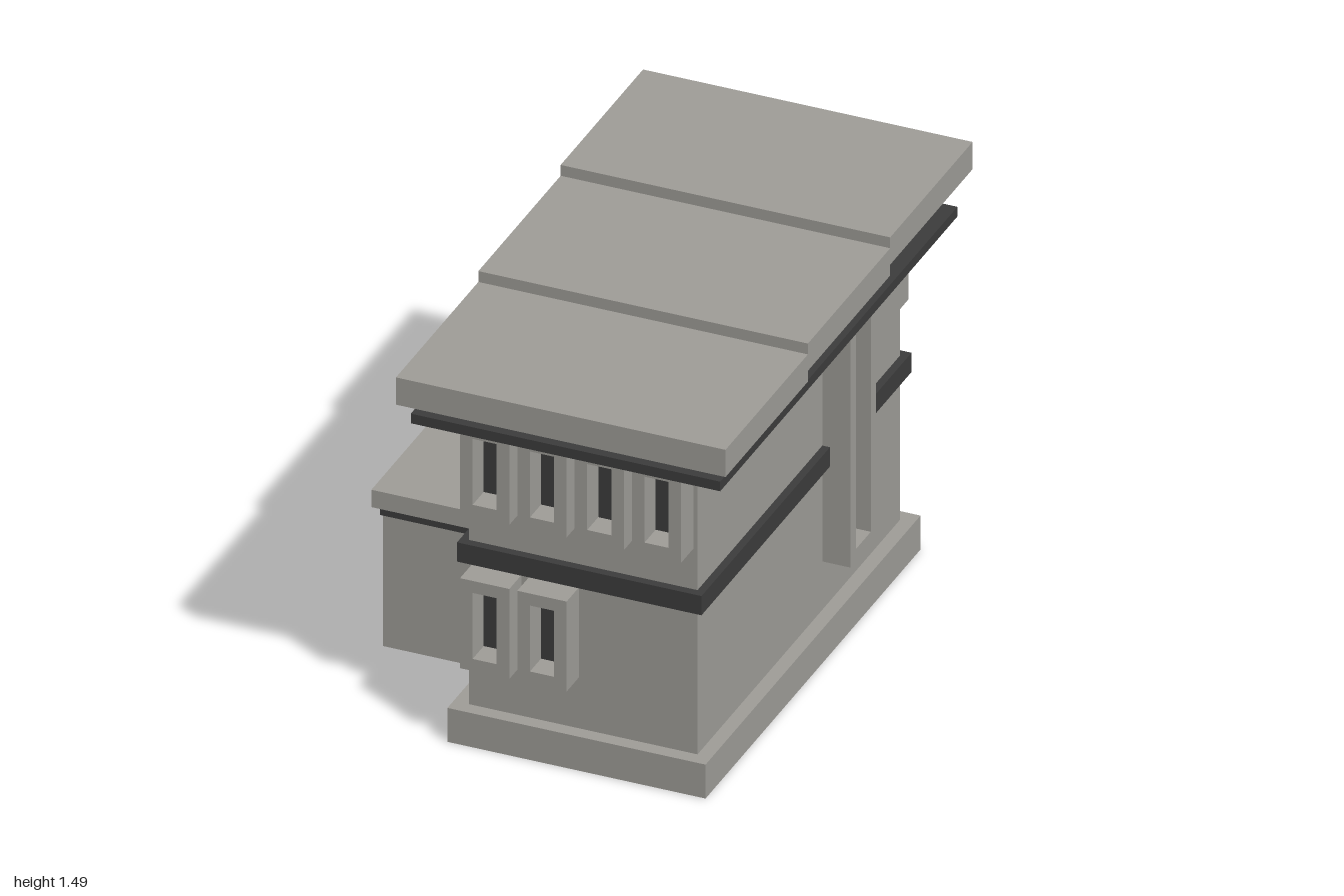
import * as THREE from 'three';

export function createModel() {
  const model = new THREE.Group();
  model.name = 'house';

  const stone = new THREE.MeshStandardMaterial({ color: 0xa09e99 });
  stone.name = 'warm grey stone';
  const dark = new THREE.MeshStandardMaterial({ color: 0x3d3d3d });
  dark.name = 'charcoal trim';

  // Box given by its min and max on each axis
  function block(name, material, [x0, x1], [y0, y1], [z0, z1]) {
    const mesh = new THREE.Mesh(new THREE.BoxGeometry(x1 - x0, y1 - y0, z1 - z0), material);
    mesh.position.set((x0 + x1) / 2, (y0 + y1) / 2, (z0 + z1) / 2);
    mesh.name = name;
    model.add(mesh);
  }

  // Deep window surround with a recessed pane; its origin is the bottom centre on the wall, facing +z
  function makeWindow(name, width, height, openWidth, openHeight, sill, depth) {
    const group = new THREE.Group();
    group.name = name;
    const rect = (target, w, y0, y1) => {
      target.moveTo(-w / 2, y0);
      target.lineTo(w / 2, y0);
      target.lineTo(w / 2, y1);
      target.lineTo(-w / 2, y1);
      target.closePath();
      return target;
    };
    const shape = rect(new THREE.Shape(), width, 0, height);
    shape.holes.push(rect(new THREE.Path(), openWidth, sill, sill + openHeight));
    const surround = new THREE.Mesh(
      new THREE.ExtrudeGeometry(shape, { depth, bevelEnabled: false }), stone);
    surround.name = 'windowSurround';
    const pane = new THREE.Mesh(new THREE.BoxGeometry(openWidth, openHeight, 0.008), dark);
    pane.position.set(0, sill + openHeight / 2, 0.006);
    pane.name = 'windowPane';
    group.add(surround, pane);
    model.add(group);
    return group;
  }

  // Main house
  block('plinth', stone, [-0.345, 0.565], [0, 0.127], [-0.87, 0.87]);
  block('mainWalls', stone, [-0.29, 0.515], [0.127, 1.283], [-0.82, 0.82]);
  block('middleBand', dark, [-0.32, 0.542], [0.67, 0.742], [-0.85, 0.85]);
  block('cornice', dark, [-0.435, 0.656], [1.22, 1.256], [-0.96, 0.96]);

  // Stepped roof, rising toward the back
  const cuts = [1, 0.333, -0.333, -1];
  for (let i = 0; i < 3; i++) {
    const y = 1.303 + i * 0.0405;
    block('roofSlab', stone, [-0.47, 0.692], [y, y + 0.102], [cuts[i + 1], cuts[i]]);
  }

  // Side wing
  block('wingWalls', stone, [-0.695, -0.29], [0.127, 0.7], [-0.59, 0.59]);
  block('wingTrim', dark, [-0.675, -0.31], [0.66, 0.695], [-0.66, 0.66]);
  block('wingRoof', stone, [-0.696, -0.28], [0.695, 0.76], [-0.68, 0.68]);

  // Rows of windows on front and back: four above, two below
  for (const side of [1, -1]) {
    for (const [y, count] of [[0.895, 4], [0.318, 2]]) {
      for (let i = 0; i < count; i++) {
        const win = makeWindow('window', 0.174, 0.337, 0.085, 0.247, 0.045, 0.1);
        win.position.set(-0.192 + i * 0.202, y, side * 0.82);
        if (side < 0) win.rotation.y = Math.PI;
      }
    }
  }

  // Tall stair window on the side
  const tall = makeWindow('stairWindow', 0.206, 0.914, 0.12, 0.818, 0.047, 0.1);
  tall.position.set(0.515, 0.308, -0.293);
  tall.rotation.y = Math.PI / 2;

  return model;
}
